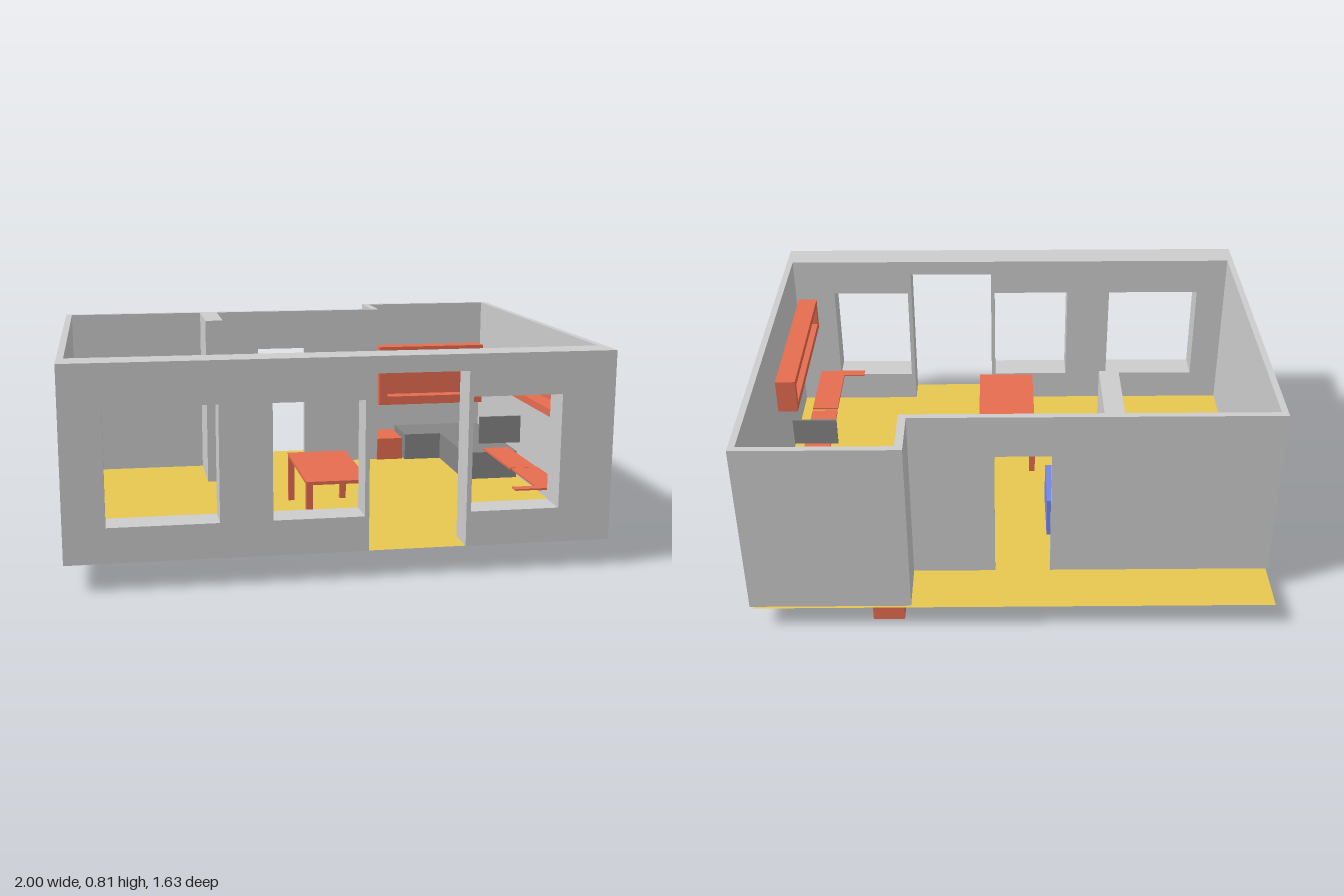
import * as THREE from 'three';

const mat = (name, color, extra = {}) => {
  const m = new THREE.MeshStandardMaterial({ color, ...extra });
  m.name = name;
  return m;
};

export function createModel() {
  const wallGrey = mat('wallGrey', 0xcccccc);
  const floorYellow = mat('floorYellow', 0xe6c74f, { side: THREE.DoubleSide });
  const furnitureRed = mat('furnitureRed', 0xe66c50);
  const boxBlue = mat('boxBlue', 0x7387e6);
  const darkGrey = mat('darkGrey', 0x858585);

  const house = new THREE.Group();
  house.name = 'house';
  const base = 0.1, top = 0.812;

  // Box from its minimum and maximum corners
  const box = (name, m, x0, x1, y0, y1, z0, z1, parent = house) => {
    const mesh = new THREE.Mesh(new THREE.BoxGeometry(x1 - x0, y1 - y0, z1 - z0), m);
    mesh.position.set((x0 + x1) / 2, (y0 + y1) / 2, (z0 + z1) / 2);
    mesh.name = name;
    parent.add(mesh);
  };
  const rectPoints = (x0, x1, y0, y1) =>
    [[x0, y0], [x1, y0], [x1, y1], [x0, y1]].map(([x, y]) => new THREE.Vector2(x, y));

  // Upright panel with one door notch in its bottom edge and window holes
  const wall = (name, x0, x1, z0, depth, door, windows) => {
    const [dl, dr, dt] = door;
    const shape = new THREE.Shape([
      [x0, base], [dl, base], [dl, dt], [dr, dt], [dr, base], [x1, base], [x1, top], [x0, top],
    ].map(([x, y]) => new THREE.Vector2(x, y)));
    for (const [l, r] of windows) shape.holes.push(new THREE.Path(rectPoints(l, r, 0.23, 0.656)));
    const mesh = new THREE.Mesh(
      new THREE.ExtrudeGeometry(shape, { depth, bevelEnabled: false }), wallGrey);
    mesh.position.z = z0;
    mesh.name = name;
    house.add(mesh);
  };

  // Floor sheet
  const floor = new THREE.Mesh(new THREE.PlaneGeometry(1.975, 1.622), floorYellow);
  floor.name = 'floor';
  floor.rotation.x = -Math.PI / 2;
  floor.position.set(-0.0025, base - 0.0005, -0.003);
  house.add(floor);

  // Walls
  wall('frontWall', -1, 1, 0.69, 0.123, [0.088, 0.45, 0.75],
    [[-0.85, -0.45], [-0.26, 0.072], [0.467, 0.8]]);
  wall('backWall', -0.975, 0.39, -0.6, 0.025, [-0.142, 0.072, 0.64], []);
  box('rightWall', wallGrey, -1, -0.975, base, top, -0.6, 0.69);
  box('leftWall', wallGrey, 0.975, 1, base, top, -0.805, 0.69);
  box('alcoveBackWall', wallGrey, 0.39, 0.975, base, top, -0.805, -0.78);
  box('alcoveSideWall', wallGrey, 0.39, 0.42, base, top, -0.78, -0.575);
  box('partition', wallGrey, -0.405, -0.33, base, top, -0.575, -0.275);

  // Dining table
  const table = new THREE.Group();
  table.name = 'table';
  house.add(table);
  box('tableTop', furnitureRed, -0.1, 0.141, 0.287, 0.3, 0.07, 0.561, table);
  for (const x of [-0.1, 0.116])
    for (const z of [0.07, 0.536])
      box('tableLeg', furnitureRed, x, x + 0.025, 0.102, 0.287, z, z + 0.025, table);

  // Open-fronted shelf with a thin back, facing +z before turning
  const shelf = (name, w, h, depth, border) => {
    const g = new THREE.Group();
    g.name = name;
    const shape = new THREE.Shape(rectPoints(-w / 2, w / 2, -h / 2, h / 2));
    shape.holes.push(new THREE.Path(
      rectPoints(-w / 2 + border, w / 2 - border, -h / 2 + border, h / 2 - border)));
    const frame = new THREE.Mesh(
      new THREE.ExtrudeGeometry(shape, { depth, bevelEnabled: false }), furnitureRed);
    frame.position.z = -depth / 2;
    frame.name = 'shelfFrame';
    g.add(frame);
    const b = border * 0.9;
    box('shelfBack', furnitureRed, -w / 2 + b, w / 2 - b, -h / 2 + b, h / 2 - b,
      -depth / 2 + 0.001, -depth / 2 + 0.01, g);
    house.add(g);
    return g;
  };
  shelf('backShelf', 0.508, 0.28, 0.08, 0.04).position.set(0.708, 0.478, -0.726);
  const sideShelf = shelf('sideShelf', 0.725, 0.14, 0.08, 0.03);
  sideShelf.position.set(0.92, 0.57, 0.302);
  sideShelf.rotation.y = -Math.PI / 2;

  // Thin wall desk in two parts, the front one with a return
  box('deskBack', furnitureRed, 0.777, 0.888, 0.253, 0.262, -0.04, 0.322);
  box('deskFront', furnitureRed, 0.777, 0.888, 0.257, 0.265, 0.337, 0.663);
  box('deskReturn', furnitureRed, 0.685, 0.777, 0.259, 0.265, 0.623, 0.663);
  box('screen', darkGrey, 0.737, 0.92, 0.295, 0.412, 0.007, 0.016);

  // Kitchen corner
  box('counterBack', darkGrey, 0.55, 0.96, base, 0.22, -0.764, -0.55);
  box('counterSide', darkGrey, 0.72, 0.96, base, 0.22, -0.55, -0.135);
  box('cabinet', furnitureRed, 0.42, 0.54, 0, 0.2, -0.767, -0.565);

  // Blue box beside the partition
  box('wallBox', boxBlue, -0.321, -0.128, 0.247, 0.408, -0.563, -0.322);

  return house;
}
